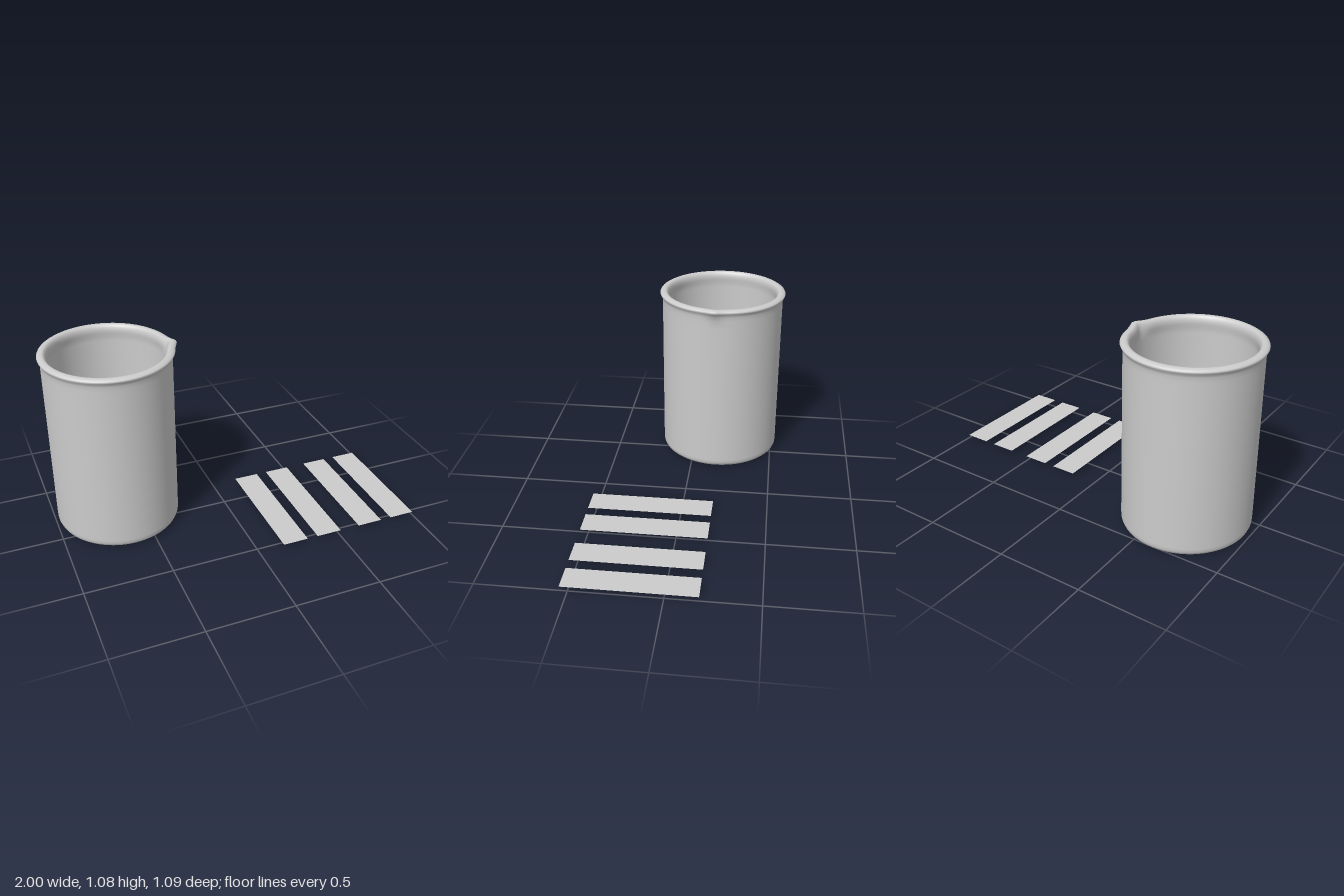
import * as THREE from 'three';
import { mergeVertices } from 'three/addons/utils/BufferGeometryUtils.js';

const SPOUT_ANGLE = 0.07;

// One closed profile: underside, outer wall, rolled rim, inner wall, inner floor
function beakerProfile() {
  return [
    [0, 0], [0.3, 0], [0.335, 0.001], [0.352, 0.006], [0.364, 0.016], [0.37, 0.03], [0.371, 0.05],
    [0.371, 0.5], [0.371, 0.95], [0.371, 1.0], [0.372, 1.025], [0.376, 1.038], [0.383, 1.048],
    [0.386, 1.055], [0.383, 1.061], [0.373, 1.067], [0.36, 1.07], [0.35, 1.069], [0.342, 1.063],
    [0.336, 1.052], [0.333, 1.037], [0.334, 1.02], [0.338, 1.0], [0.341, 0.97], [0.341, 0.5],
    [0.341, 0.07], [0.339, 0.05], [0.332, 0.037], [0.32, 0.031], [0.3, 0.03], [0, 0.03],
  ].map(([r, y]) => new THREE.Vector2(r, y));
}

function beakerGeometry() {
  let geo = new THREE.LatheGeometry(beakerProfile(), 128);
  const p = geo.attributes.position;
  for (let i = 0; i < p.count; i++) {
    const x = p.getX(i), y = p.getY(i), z = p.getZ(i);
    const r = Math.hypot(x, z);
    if (y < 0.97 || r < 0.1) continue;
    // Pull the rim outward into a small pointed pouring spout
    const a = Math.abs(Math.atan2(z, x) - SPOUT_ANGLE);
    const side = Math.max(0, 1 - a / 0.27) ** 2;
    const rise = THREE.MathUtils.smoothstep(y, 0.97, 1.06);
    const s = 1 + (0.026 * side * rise) / r;
    p.setXYZ(i, x * s, y + 0.006 * side * rise, z * s);
  }
  // Weld the seam so the shading is continuous
  geo.deleteAttribute('uv');
  geo.deleteAttribute('normal');
  geo = mergeVertices(geo, 1e-5);
  geo.scale(0.968, 1, 1);
  geo.computeVertexNormals();
  return geo;
}

export function createModel() {
  const group = new THREE.Group();
  const material = new THREE.MeshStandardMaterial({ color: 0xcccccc, side: THREE.DoubleSide });

  const beaker = new THREE.Mesh(beakerGeometry(), material);
  beaker.name = 'beaker';
  beaker.position.set(-0.627, 0, -0.159);
  group.add(beaker);

  // Four thin paper test strips lying beside the beaker
  const strips = new THREE.Group();
  strips.name = 'testStrips';
  const stripGeo = new THREE.PlaneGeometry(0.15, 0.725).rotateX(-Math.PI / 2);
  [0.222, 0.436, 0.706, 0.922].forEach((x, i) => {
    const strip = new THREE.Mesh(stripGeo, material);
    strip.name = `testStrip${i + 1}`;
    strip.position.set(x, 0.022, 0.183);
    strips.add(strip);
  });
  group.add(strips);

  return group;
}
